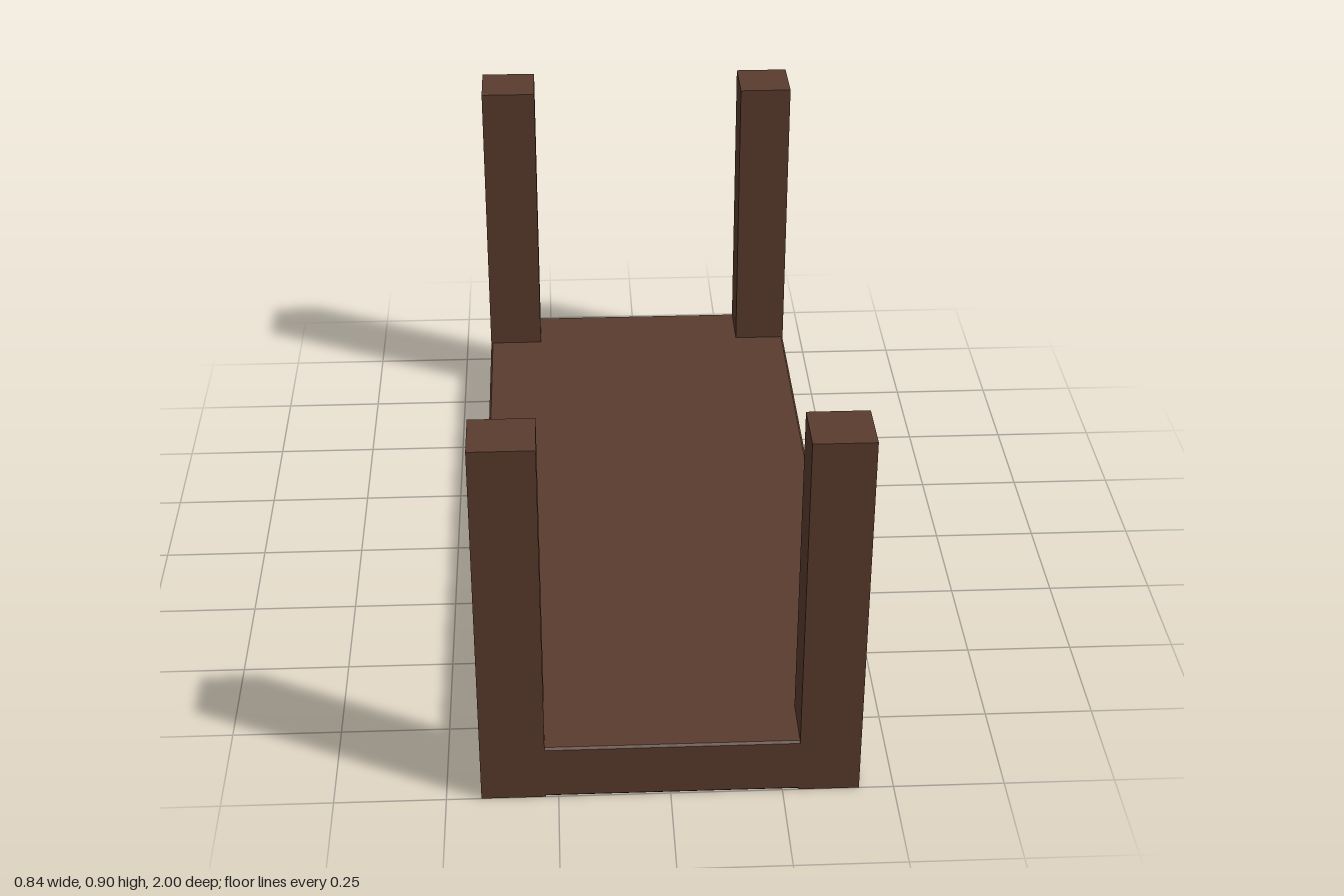
import * as THREE from 'three';

const material = new THREE.MeshStandardMaterial({ color: 0x5a3c2e, flatShading: true });

// Box given by its lower and upper corners
function post(name, x0, x1, z0, z1, height) {
  const mesh = new THREE.Mesh(new THREE.BoxGeometry(x1 - x0, height, z1 - z0), material);
  mesh.position.set((x0 + x1) / 2, height / 2, (z0 + z1) / 2);
  mesh.name = name;
  return mesh;
}

// Flat slab with a thin chamfer around its top and bottom edges
function slab(width, height, depth, bevel) {
  const w = width / 2 - bevel, d = depth / 2 - bevel;
  const shape = new THREE.Shape([
    new THREE.Vector2(-w, -d), new THREE.Vector2(w, -d),
    new THREE.Vector2(w, d), new THREE.Vector2(-w, d),
  ]);
  const geometry = new THREE.ExtrudeGeometry(shape, {
    depth: height - 2 * bevel, bevelSize: bevel, bevelThickness: bevel, bevelSegments: 1,
  });
  geometry.rotateX(-Math.PI / 2).translate(0, bevel, 0);
  const mesh = new THREE.Mesh(geometry, material);
  mesh.name = 'slab';
  return mesh;
}

export function createModel() {
  const group = new THREE.Group();
  group.name = 'table frame';
  group.add(slab(0.844, 0.135, 2, 0.005));

  // Four corner posts; left and right, front and back differ slightly in thickness
  const sides = { Right: [-0.422, -0.279], Left: [0.286, 0.422] };
  const ends = { front: [0.87, 1], back: [-1, -0.853] };
  for (const [end, z] of Object.entries(ends)) {
    for (const [side, x] of Object.entries(sides)) {
      group.add(post(`${end}${side}Post`, ...x, ...z, 0.905));
    }
  }
  return group;
}
